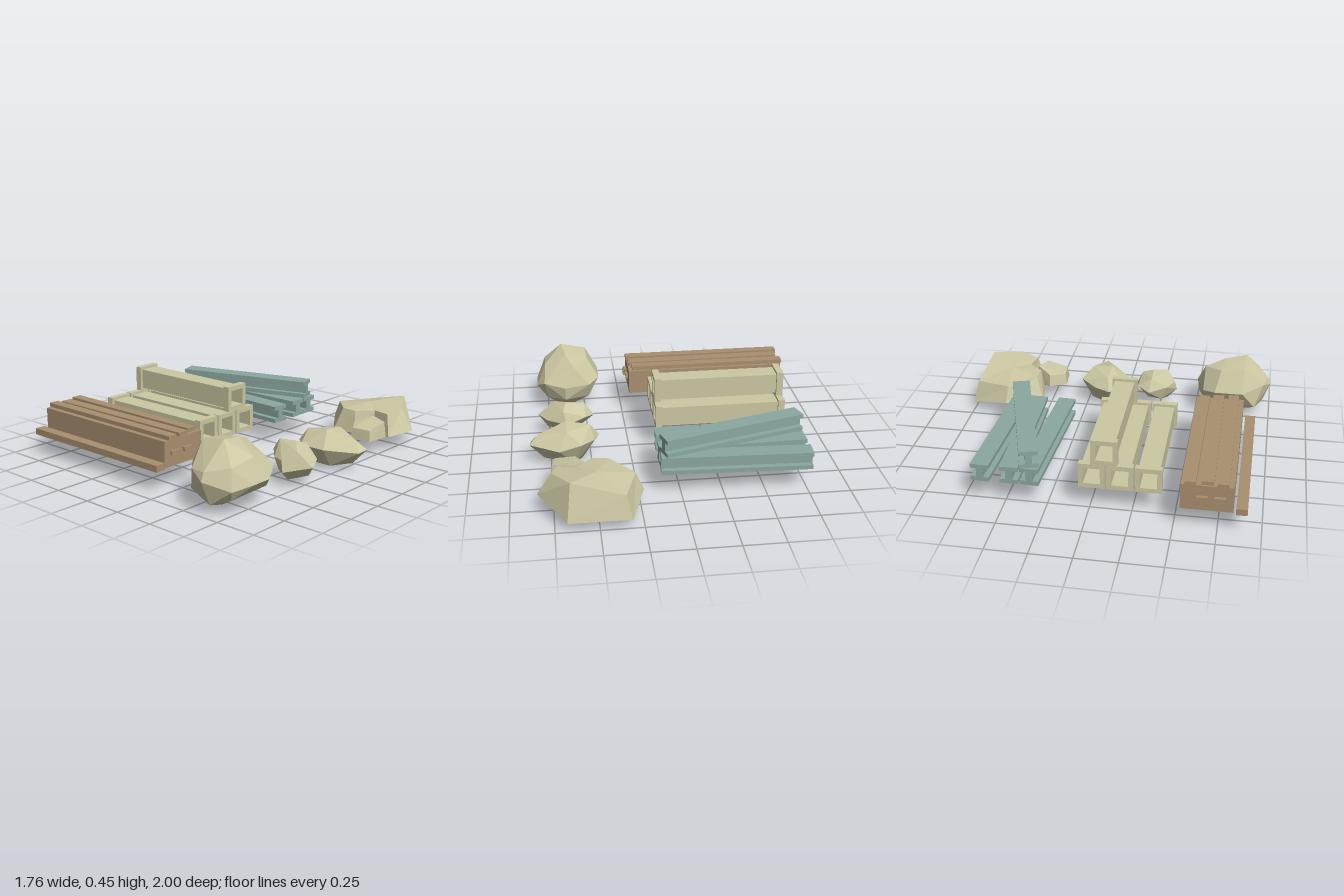
import * as THREE from 'three';
import { ConvexGeometry } from 'three/addons/geometries/ConvexGeometry.js';

const paint = (name, color) => {
  const m = new THREE.MeshStandardMaterial({ color, flatShading: true });
  m.name = name;
  return m;
};

export function createModel() {
  const stone = paint('pale stone', 0xccc8a3);
  const wood = paint('brown wood', 0xa98f6f);
  const steel = paint('teal steel', 0x8ba8a0);
  const model = new THREE.Group();

  const add = (parent, name, geometry, material) => {
    const mesh = new THREE.Mesh(geometry, material);
    mesh.name = name;
    parent.add(mesh);
    return mesh;
  };
  const group = (name) => {
    const g = new THREE.Group();
    g.name = name;
    model.add(g);
    return g;
  };
  // Box given by its lower and upper corners
  const block = (parent, name, x0, x1, y0, y1, z0, z1, material) => {
    const mesh = add(parent, name, new THREE.BoxGeometry(x1 - x0, y1 - y0, z1 - z0), material);
    mesh.position.set((x0 + x1) / 2, (y0 + y1) / 2, (z0 + z1) / 2);
    return mesh;
  };

  // Timber stack: core, loose top boards, protruding inner boards, front plank
  const timber = group('timberStack');
  block(timber, 'timberCore', -0.86, 0.195, 0.13, 0.29, 0.535, 0.835, wood);
  block(timber, 'topBoardBack', -0.87, 0.17, 0.29, 0.315, 0.556, 0.62, wood);
  block(timber, 'topBoardMiddle', -0.85, 0.19, 0.29, 0.313, 0.645, 0.715, wood).rotation.y = 0.01;
  block(timber, 'topBoardFront', -0.87, 0.2, 0.29, 0.315, 0.74, 0.803, wood);
  for (const z of [0.625, 0.727])
    block(timber, 'innerBoard', -0.88, 0.21, 0.2, 0.225, z, z + 0.062, wood);
  block(timber, 'frontPlank', -0.88, 0.21, 0.13, 0.17, 0.85, 0.915, wood);

  // Square hollow pipes with a collar at each end
  const squareTube = (outer, inner, length) => {
    const square = (path, r) =>
      path.moveTo(-r, -r).lineTo(r, -r).lineTo(r, r).lineTo(-r, r).closePath();
    const shape = square(new THREE.Shape(), outer / 2);
    shape.holes.push(square(new THREE.Path(), inner / 2));
    return new THREE.ExtrudeGeometry(shape, { depth: length, bevelEnabled: false })
      .translate(0, 0, -length / 2).rotateY(Math.PI / 2);
  };
  const pipes = group('pipeStack');
  for (const [y, z] of [[0.217, 0.343], [0.217, 0.177], [0.217, 0.012], [0.375, 0.085]]) {
    const pipe = new THREE.Group();
    pipe.name = 'squarePipe';
    pipe.position.set(-0.335, y, z);
    pipes.add(pipe);
    add(pipe, 'pipeBody', squareTube(0.125, 0.1, 0.75), stone);
    for (const side of [-1, 1])
      add(pipe, 'pipeCollar', squareTube(0.157, 0.1, 0.042), stone).position.x = side * 0.394;
  }

  // Steel I-beams: three on the ground, one laid diagonally on top
  const beams = group('beamStack');
  const beam = (x0, z0, x1, z1, y) => {
    const g = new THREE.Group();
    g.name = 'steelBeam';
    const length = Math.hypot(x1 - x0, z1 - z0), h = length / 2;
    block(g, 'bottomFlange', -h, h, 0, 0.026, -0.055, 0.055, steel);
    block(g, 'web', -h, h, 0.026, 0.082, -0.02, 0.02, steel);
    block(g, 'topFlange', -h, h, 0.082, 0.108, -0.055, 0.055, steel);
    g.position.set((x0 + x1) / 2, y, (z0 + z1) / 2);
    g.rotation.y = Math.atan2(z0 - z1, x1 - x0);
    beams.add(g);
  };
  beam(-0.78, -0.645, 0.115, -0.605, 0.138);
  beam(-0.78, -0.47, 0.115, -0.49, 0.138);
  beam(-0.78, -0.35, 0.115, -0.305, 0.138);
  beam(-0.765, -0.35, 0.1, -0.605, 0.246);

  // Faceted rocks as convex hulls
  const rocks = group('rocks');
  const rock = (name, points) =>
    add(rocks, name, new ConvexGeometry(points.map((p) => new THREE.Vector3(...p))), stone);

  rock('boulder', [
    [0.645, 0.4, 0.83], [0.48, 0.37, 0.82], [0.475, 0.35, 0.67], [0.62, 0.375, 0.69],
    [0.57, 0.33, 0.56], [0.76, 0.3, 0.72], [0.76, 0.28, 0.9], [0.635, 0.25, 0.98],
    [0.635, 0.2, 1], [0.52, 0.24, 0.95], [0.4, 0.22, 0.82], [0.4, 0.22, 0.635],
    [0.465, 0.2, 0.555], [0.635, 0.2, 0.505], [0.77, 0.22, 0.56], [0.82, 0.17, 0.66],
    [0.82, 0.17, 0.79], [0.79, 0.16, 0.93], [0.465, 0.1, 0.9], [0.47, 0.1, 0.6],
    [0.65, 0.06, 0.95], [0.64, 0.03, 0.84], [0.62, 0.03, 0.6], [0.76, 0.1, 0.9],
    [0.75, 0.1, 0.6], [0.55, 0.03, 0.72], [0.63, 0.11, 0.52],
  ]);
  rock('smallRock', [
    [0.635, 0.13, 0.085], [0.76, 0.14, 0.15], [0.82, 0.13, 0.27], [0.67, 0.09, 0.36],
    [0.65, 0.155, 0.345], [0.56, 0.15, 0.3], [0.46, 0.15, 0.185], [0.52, 0.17, 0.105],
    [0.52, 0.23, 0.2], [0.64, 0.24, 0.2], [0.66, 0.21, 0.12], [0.72, 0.21, 0.29],
    [0.66, 0.03, 0.3], [0.56, 0.06, 0.26], [0.6, 0.05, 0.17], [0.76, 0.06, 0.23],
  ]);
  rock('middleRock', [
    [0.56, 0.17, -0.29], [0.7, 0.13, -0.285], [0.88, 0.14, -0.185], [0.87, 0.13, -0.115],
    [0.83, 0.19, -0.15], [0.7, 0.145, 0.01], [0.53, 0.145, 0.01], [0.445, 0.14, -0.085],
    [0.48, 0.15, -0.185], [0.65, 0.23, -0.225], [0.5, 0.22, -0.1], [0.65, 0.245, -0.09],
    [0.79, 0.04, -0.17], [0.55, 0.005, -0.12], [0.6, 0.02, -0.225], [0.7, 0.03, -0.06],
  ]);
  rock('lowRock', [
    [0.625, 0.1, -0.63], [0.755, 0.1, -0.58], [0.74, 0.1, -0.42], [0.6, 0.1, -0.41],
    [0.54, 0.1, -0.52], [0.63, 0.21, -0.615], [0.745, 0.2, -0.57], [0.73, 0.17, -0.43],
    [0.61, 0.17, -0.42], [0.555, 0.18, -0.52],
  ]);

  // Broad slab rock with a notch: two rings, each closed by a centre point
  const base = [
    [0.315, 0.06, -1], [0.68, 0.06, -1], [0.84, 0.12, -0.755], [0.755, 0.09, -0.61],
    [0.61, 0.08, -0.65], [0.535, 0.09, -0.55], [0.38, 0.08, -0.53], [0.23, 0.11, -0.755],
  ];
  const top = [
    [0.35, 0.2, -0.97], [0.655, 0.28, -0.94], [0.755, 0.25, -0.755], [0.72, 0.23, -0.64],
    [0.61, 0.23, -0.665], [0.52, 0.23, -0.57], [0.42, 0.23, -0.58], [0.275, 0.215, -0.745],
  ];
  const n = base.length, faces = [];
  for (let i = 0; i < n; i++) {
    const j = (i + 1) % n;
    faces.push(i, n + i, j, n + i, n + j, j);
    faces.push(2 * n, i, j, 2 * n + 1, n + j, n + i);
  }
  const slab = new THREE.BufferGeometry();
  const corners = [...base, ...top, [0.52, 0.05, -0.76], [0.5, 0.25, -0.77]].flat();
  slab.setAttribute('position', new THREE.Float32BufferAttribute(corners, 3));
  slab.setIndex(faces);
  const flat = slab.toNonIndexed();
  flat.computeVertexNormals();
  add(rocks, 'slabRock', flat, stone);

  return model;
}
